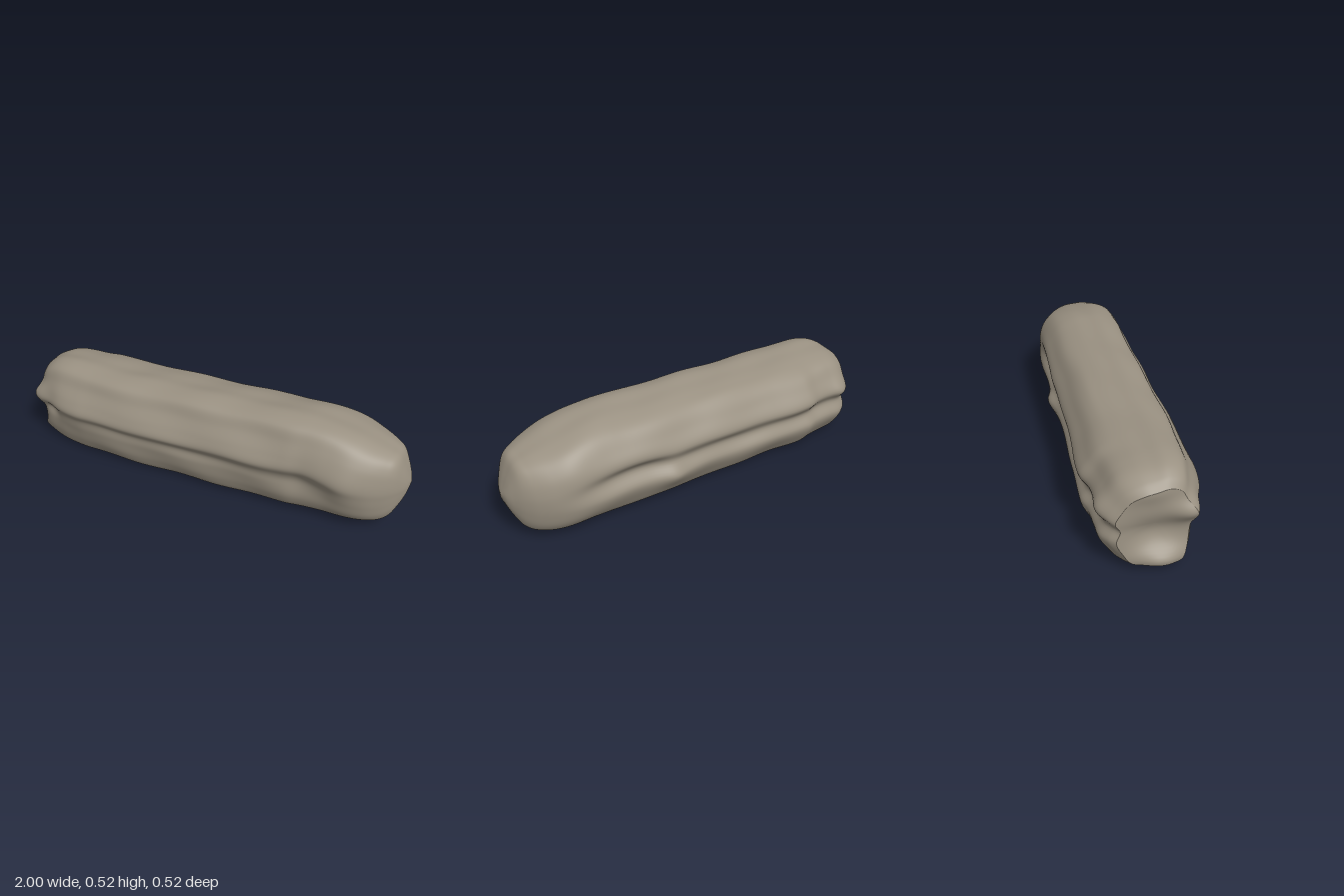
import * as THREE from 'three';

// Cross-sections as [z, y], from the bottom up the front, over the top and down the back
const RIDGED = [[0, 0], [0.1, 0], [0.17, 0.005], [0.21, 0.08], [0.228, 0.17], [0.24, 0.24], [0.26, 0.295], [0.238, 0.355],
  [0.198, 0.42], [0.16, 0.487], [0.08, 0.515], [0, 0.505], [-0.08, 0.49], [-0.165, 0.45], [-0.215, 0.385],
  [-0.258, 0.305], [-0.225, 0.235], [-0.255, 0.16], [-0.215, 0.07], [-0.16, 0.005], [-0.08, 0]];
const ROUNDED = [[0, 0], [0.1, 0], [0.18, 0.02], [0.225, 0.08], [0.245, 0.16], [0.255, 0.23], [0.26, 0.29], [0.25, 0.36],
  [0.225, 0.43], [0.175, 0.488], [0.09, 0.515], [0, 0.51], [-0.08, 0.5], [-0.165, 0.465], [-0.225, 0.395],
  [-0.255, 0.31], [-0.26, 0.235], [-0.25, 0.16], [-0.22, 0.075], [-0.165, 0.015], [-0.08, 0]];

// Stations along the length: x, front reach, back reach, bottom, top
const STATIONS = [
  [-0.95, 0.165, 0.17, 0.045, 0.41], [-0.92, 0.185, 0.2, 0.03, 0.445], [-0.87, 0.205, 0.228, 0.012, 0.472],
  [-0.8, 0.23, 0.232, 0.008, 0.483], [-0.7, 0.248, 0.24, 0.007, 0.484], [-0.62, 0.252, 0.262, 0.008, 0.484],
  [-0.4, 0.26, 0.25, 0.01, 0.485], [0, 0.252, 0.24, 0.015, 0.502], [0.22, 0.25, 0.245, 0.02, 0.508],
  [0.43, 0.246, 0.24, 0.026, 0.518], [0.52, 0.232, 0.24, 0.028, 0.519], [0.62, 0.23, 0.241, 0.03, 0.507],
  [0.73, 0.232, 0.236, 0.032, 0.48], [0.82, 0.21, 0.207, 0.034, 0.45], [0.89, 0.175, 0.165, 0.045, 0.425],
  [0.935, 0.14, 0.125, 0.075, 0.4], [0.965, 0.1, 0.088, 0.13, 0.34], [0.99, 0.05, 0.045, 0.195, 0.275], [1, 0, 0, 0.245, 0.245]];

// Local swellings and hollows: centre, radii, push
const BUMPS = [
  [[0.22, 0.2, -0.24], [0.07, 0.07, 0.1], [0, 0, -0.025]],
  [[0.48, 0.27, -0.24], [0.2, 0.05, 0.1], [0, 0, 0.025]],
  [[0.5, 0.22, 0.24], [0.12, 0.06, 0.1], [0, 0, -0.015]],
  [[0.68, 0.3, 0.23], [0.12, 0.08, 0.1], [0, 0, 0.012]],
  [[-0.1, 0.23, 0.24], [0.5, 0.035, 0.1], [0, 0, -0.012]],
  [[-0.97, 0.06, 0.02], [0.07, 0.05, 0.11], [-0.055, 0, 0]],
  [[-0.95, 0.29, 0.13], [0.06, 0.05, 0.07], [-0.035, 0, 0.02]],
  [[-0.95, 0.4, -0.04], [0.05, 0.05, 0.1], [-0.015, 0, 0]],
  [[-0.95, 0.19, 0], [0.05, 0.07, 0.12], [0.03, 0, 0]],
  [[-0.88, 0.22, 0.2], [0.05, 0.04, 0.08], [0, 0, -0.018]],
  [[-0.85, 0.3, -0.22], [0.06, 0.05, 0.08], [0, 0, -0.012]],
  [[-0.3, 0.48, -0.14], [0.3, 0.03, 0.04], [0, 0.012, -0.01]]];

// Smooth interpolation of one station column
function along(x, k) {
  let i = 0;
  while (i < STATIONS.length - 2 && x > STATIONS[i + 1][0]) i++;
  const a = STATIONS[i], b = STATIONS[i + 1], h = b[0] - a[0];
  const p = STATIONS[Math.max(i - 1, 0)], n = STATIONS[Math.min(i + 2, STATIONS.length - 1)];
  const m0 = (b[k] - p[k]) / (b[0] - p[0]) * h, m1 = (n[k] - a[k]) / (n[0] - a[0]) * h;
  const t = THREE.MathUtils.clamp((x - a[0]) / h, 0, 1), t2 = t * t, t3 = t2 * t;
  return (2 * t3 - 3 * t2 + 1) * a[k] + (t3 - 2 * t2 + t) * m0 + (3 * t2 - 2 * t3) * b[k] + (t3 - t2) * m1;
}

function sampleProfile(points, count) {
  const curve = new THREE.CatmullRomCurve3(points.map(([z, y]) => new THREE.Vector3(0, y, z)), true);
  return Array.from({ length: count }, (_, i) => curve.getPoint(i / count));
}

function bodyGeometry() {
  const around = 126, length = 160, capRings = 14;
  const ridged = sampleProfile(RIDGED, around), rounded = sampleProfile(ROUNDED, around);
  const positions = [], index = [];
  const addRing = (x, scale, bulge) => {
    const [front, back, low, high] = [1, 2, 3, 4].map(k => along(x, k));
    const soft = THREE.MathUtils.smoothstep(x, 0.3, 0.85);
    const mid = 0.23;
    for (let j = 0; j < around; j++) {
      const s = ridged[j].clone().lerp(rounded[j], soft);
      const z = s.z / 0.26 * (s.z > 0 ? front : back) * scale;
      const y = mid + (low + s.y / 0.515 * (high - low) - mid) * scale;
      const p = new THREE.Vector3(x - bulge, y, z), start = p.clone();
      for (const [c, r, push] of BUMPS) {
        const d = ((start.x - c[0]) / r[0]) ** 2 + ((start.y - c[1]) / r[1]) ** 2 + ((start.z - c[2]) / r[2]) ** 2;
        p.addScaledVector(new THREE.Vector3(...push), Math.exp(-d));
      }
      // Faint weathering, fading at the tip
      const fade = Math.min(1, (1 - x) * 4) * scale;
      p.z += fade * 0.003 * Math.sin(x * 13 + y * 17);
      p.y += fade * 0.002 * Math.sin(x * 17 + z * 21);
      positions.push(Math.max(p.x, -1), Math.max(p.y, 0), p.z);
    }
  };
  // Blunt end, closed from the middle outwards
  for (let i = 0; i < capRings; i++) {
    const s = i / capRings;
    addRing(-0.95, s, 0.006 * (1 - s * s));
  }
  // Long body and rounded tip
  for (let i = 0; i <= length; i++) addRing(0.025 - 0.975 * Math.cos(Math.PI * i / length), 1, 0);
  for (let i = 0; i < capRings + length; i++) {
    for (let j = 0; j < around; j++) {
      const a = i * around + j, b = i * around + (j + 1) % around;
      if (i > 0) index.push(a, a + around, b);
      index.push(b, a + around, b + around);
    }
  }
  const geometry = new THREE.BufferGeometry();
  geometry.setAttribute('position', new THREE.Float32BufferAttribute(positions, 3));
  geometry.setIndex(index);
  geometry.computeVertexNormals();
  return geometry;
}

export function createModel() {
  const stone = new THREE.MeshStandardMaterial({ color: 0x9a9182 });
  stone.name = 'warm grey stone';
  const body = new THREE.Mesh(bodyGeometry(), stone);
  body.name = 'longStone';
  const group = new THREE.Group();
  group.name = 'stoneLog';
  group.add(body);
  return group;
}
